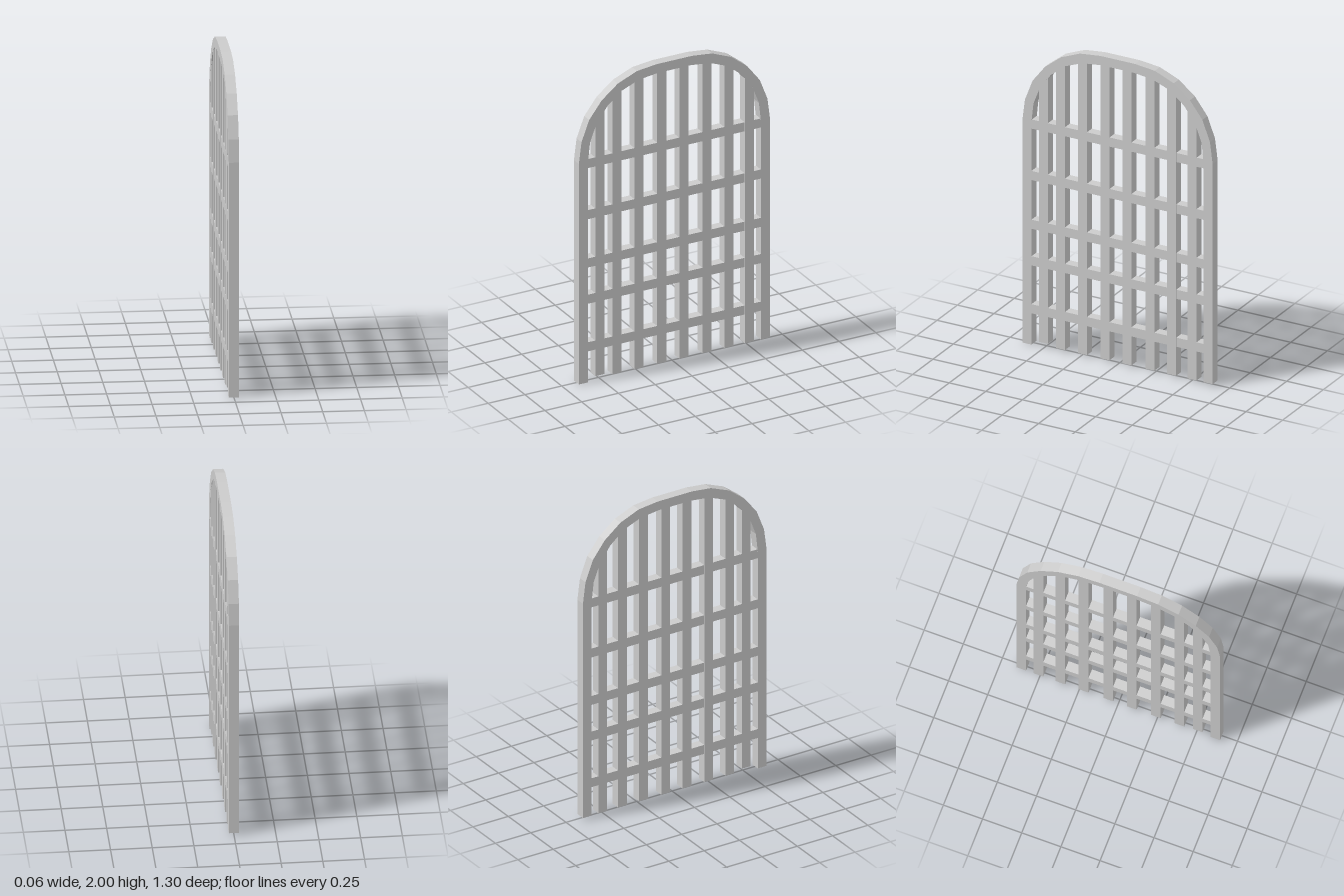
import * as THREE from 'three';

const material = new THREE.MeshStandardMaterial({ color: 0xcccccc, flatShading: true, side: THREE.DoubleSide });

// Open-ended square tube through sections [zA, yA, zB, yB], where A and B are its two edges.
function squareTube(name, sections, half) {
  const positions = [];
  const rings = sections.map(([za, ya, zb, yb]) => [
    [half, ya, za], [half, yb, zb], [-half, yb, zb], [-half, ya, za],
  ]);
  for (let i = 0; i < rings.length - 1; i++) {
    for (let k = 0; k < 4; k++) {
      const a = rings[i][k], b = rings[i][(k + 1) % 4];
      const c = rings[i + 1][(k + 1) % 4], d = rings[i + 1][k];
      positions.push(...a, ...c, ...b, ...a, ...d, ...c);
    }
  }
  const geometry = new THREE.BufferGeometry();
  geometry.setAttribute('position', new THREE.Float32BufferAttribute(positions, 3));
  geometry.computeVertexNormals();
  const mesh = new THREE.Mesh(geometry, material);
  mesh.name = name;
  return mesh;
}

export function createModel() {
  const group = new THREE.Group();
  group.name = 'archedGate';
  const depth = 0.031;

  // Arched frame: outer and inner points of one half, then mirrored
  const arch = [
    [0.65, 1.46, 0.588, 1.46],
    [0.632, 1.60, 0.574, 1.585],
    [0.58, 1.735, 0.53, 1.70],
    [0.495, 1.845, 0.455, 1.80],
    [0.385, 1.932, 0.36, 1.878],
    [0.255, 1.985, 0.24, 1.925],
    [0.12, 2, 0.112, 1.94],
  ];
  const mirrored = arch.map(([za, ya, zb, yb]) => [-za, ya, -zb, yb]).reverse();
  group.add(squareTube('archedFrame', [
    [0.65, 0, 0.588, 0], ...arch, ...mirrored, [-0.65, 0.015, -0.588, 0.015],
  ], depth));

  // Upright bars: centre z, bottom, top hidden inside the frame
  const uprights = [
    [0.507, 0.03, 1.785], [0.39, 0.015, 1.89], [0.24, 0.015, 1.95], [0.086, 0.015, 1.96],
    [-0.064, 0.015, 1.96], [-0.221, 0.015, 1.95], [-0.37, 0.015, 1.895], [-0.509, 0.015, 1.785],
  ];
  for (const [z, bottom, top] of uprights) {
    group.add(squareTube('uprightBar', [
      [z + 0.031, bottom, z - 0.031, bottom], [z + 0.031, top, z - 0.031, top],
    ], depth - 0.0005));
  }

  // Cross bars
  for (const y of [0.235, 0.55, 0.79, 1.11, 1.448]) {
    const bar = new THREE.Mesh(new THREE.BoxGeometry(0.06, 0.06, 1.18), material);
    bar.name = 'crossBar';
    bar.position.y = y;
    group.add(bar);
  }
  return group;
}
